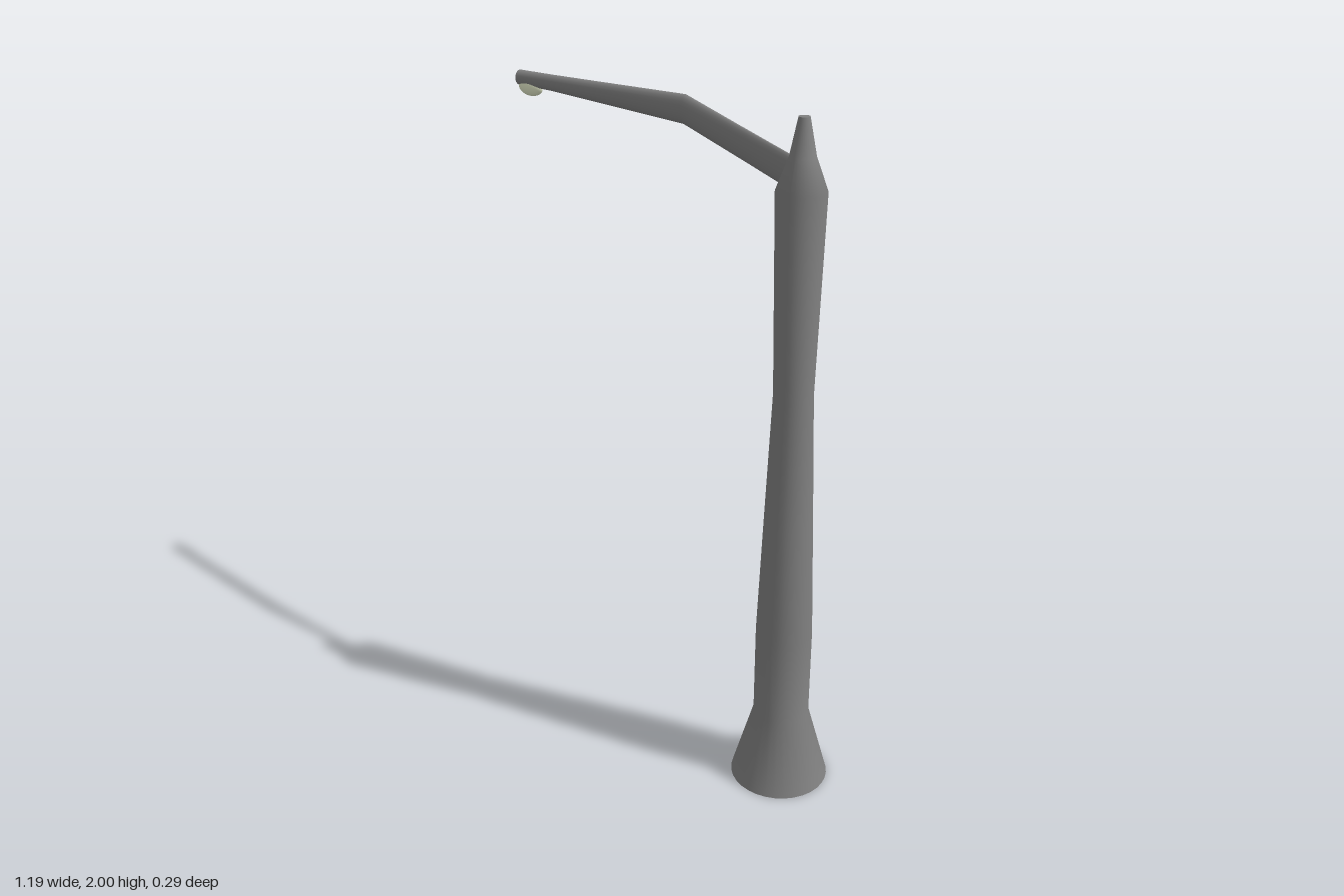
import * as THREE from 'three';

const metal = new THREE.MeshStandardMaterial({ color: 0x808080 });
const glass = new THREE.MeshStandardMaterial({ color: 0xe2e8c8 });
const POST_X = 0.445;

// Loft of elliptical sections along x: [x, centre y, half height, half depth]
function loftX(sections, sides) {
  const pos = [], index = [];
  for (const [x, y, h, d] of sections) {
    for (let i = 0; i < sides; i++) {
      const a = (i / sides) * Math.PI * 2;
      pos.push(x, y + h * Math.cos(a), d * Math.sin(a));
    }
  }
  for (let s = 0; s < sections.length - 1; s++) {
    for (let i = 0; i < sides; i++) {
      const a = s * sides + i, b = s * sides + (i + 1) % sides;
      index.push(a, a + sides, b, b, a + sides, b + sides);
    }
  }
  // flat end caps with their own vertices
  [0, sections.length - 1].forEach((s, end) => {
    const base = pos.length / 3;
    pos.push(...pos.slice(s * sides * 3, (s + 1) * sides * 3));
    for (let i = 1; i < sides - 1; i++) {
      if (end) index.push(base, base + i + 1, base + i);
      else index.push(base, base + i, base + i + 1);
    }
  });
  const g = new THREE.BufferGeometry();
  g.setAttribute('position', new THREE.Float32BufferAttribute(pos, 3));
  g.setIndex(index);
  // make sure the faces point outwards
  g.computeVertexNormals();
  const n = g.attributes.normal;
  if (n.getY(0) < 0) {
    g.setIndex(index.reverse());
    g.computeVertexNormals();
  }
  return g;
}

export function createModel() {
  const group = new THREE.Group();
  const add = (name, geometry, material) => {
    const mesh = new THREE.Mesh(geometry, material);
    mesh.name = name;
    group.add(mesh);
    return mesh;
  };

  // Post: flared foot, slim waist, pointed finial
  const profile = [
    [0.145, 0], [0.082, 0.225], [0.082, 0.5], [0.069, 0.87], [0.055, 1.25],
    [0.068, 1.81], [0.035, 1.9], [0.015, 2],
  ].map(([r, y]) => new THREE.Vector2(r, y));
  add('post', new THREE.LatheGeometry(profile, 32), metal).position.x = POST_X;

  // Foot underside and finial tip
  const foot = add('footUnderside', new THREE.CircleGeometry(0.145, 32), metal);
  foot.rotation.x = Math.PI / 2;
  foot.position.set(POST_X, 0, 0);
  const tip = add('finialTip', new THREE.CircleGeometry(0.015, 32), metal);
  tip.rotation.x = -Math.PI / 2;
  tip.position.set(POST_X, 2, 0);

  // Bent arm, deepest at the elbow and thin where it enters the post
  add('arm', loftX([
    [-0.595, 1.958, 0.022, 0.018],
    [-0.46, 1.96, 0.023, 0.018],
    [0.05, 1.959, 0.04, 0.018],
    [0.4, 1.855, 0.045, 0.008],
    [0.44, 1.843, 0.045, 0.007],
  ], 20), metal);

  // Lamp lens under the arm's free end
  const lens = add('lampLens', new THREE.SphereGeometry(1, 24, 16), glass);
  lens.scale.set(0.048, 0.026, 0.017);
  lens.position.set(-0.55, 1.936, 0);

  return group;
}
